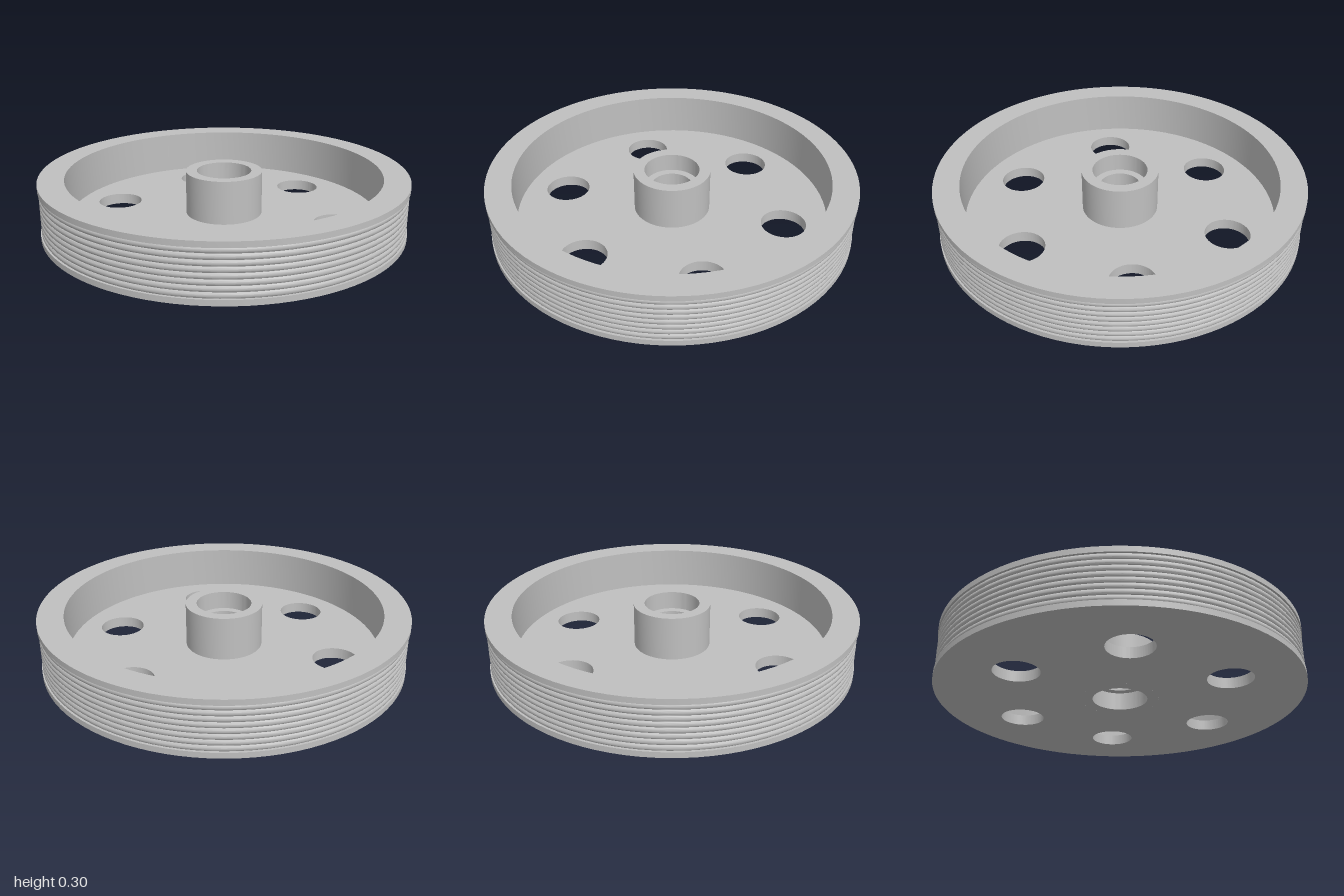
import * as THREE from 'three';
import { toCreasedNormals } from 'three/addons/utils/BufferGeometryUtils.js';

const SEG = 96;
const HEIGHT = 0.3, FLOOR = 0.06;
const RIM_INNER = 0.86, HUB = 0.21, RECESS = 0.15, BORE = 0.11;

export function createModel() {
  const group = new THREE.Group();
  group.name = 'pulleyWheel';
  const metal = new THREE.MeshStandardMaterial({ color: 0xc0c0c0 });
  metal.name = 'grey metal';

  const add = (name, geometry) => {
    const mesh = new THREE.Mesh(toCreasedNormals(geometry, 0.5), metal);
    mesh.name = name;
    group.add(mesh);
  };
  const lathe = (points) =>
    new THREE.LatheGeometry(points.map(([r, y]) => new THREE.Vector2(r, y)), SEG);

  // Rim: two thin flanges with eight rounded ribs between them
  const ribs = 8, steps = 8, low = 0.03, pitch = (HEIGHT - 2 * low) / ribs;
  const rim = [[RIM_INNER, 0], [1, 0], [1, low]];
  for (let i = 0; i < ribs; i++) {
    for (let j = i ? 1 : 0; j <= steps; j++) {
      const a = (j / steps) * Math.PI;
      rim.push([0.986 + 0.009 * Math.sin(a), low + pitch * (i + (1 - Math.cos(a)) / 2)]);
    }
  }
  rim.push([1, HEIGHT - low], [1, HEIGHT], [RIM_INNER, HEIGHT], [RIM_INNER, FLOOR]);
  add('ribbedRim', lathe(rim));

  // Web disc with six round holes
  const disc = new THREE.Shape();
  disc.absarc(0, 0, RIM_INNER, 0, Math.PI * 2, false);
  const cut = (x, y, r) =>
    disc.holes.push(new THREE.Path().absarc(x, y, r, 0, Math.PI * 2, true));
  cut(0, 0, HUB);
  for (let i = 0; i < 6; i++) {
    const a = Math.PI / 2 + (i * Math.PI) / 3;
    cut(0.63 * Math.cos(a), 0.63 * Math.sin(a), 0.122);
  }
  const web = new THREE.ExtrudeGeometry(disc, { depth: FLOOR, bevelEnabled: false, curveSegments: SEG });
  web.rotateX(-Math.PI / 2);
  add('webDisc', web);

  // Hub with a bearing recess at each end of the bore
  add('hub', lathe([
    [RECESS, 0], [HUB, 0], [HUB, HEIGHT], [RECESS, HEIGHT], [RECESS, 0.2],
    [BORE, 0.2], [BORE, 0.1], [RECESS, 0.1], [RECESS, 0],
  ]));

  return group;
}
